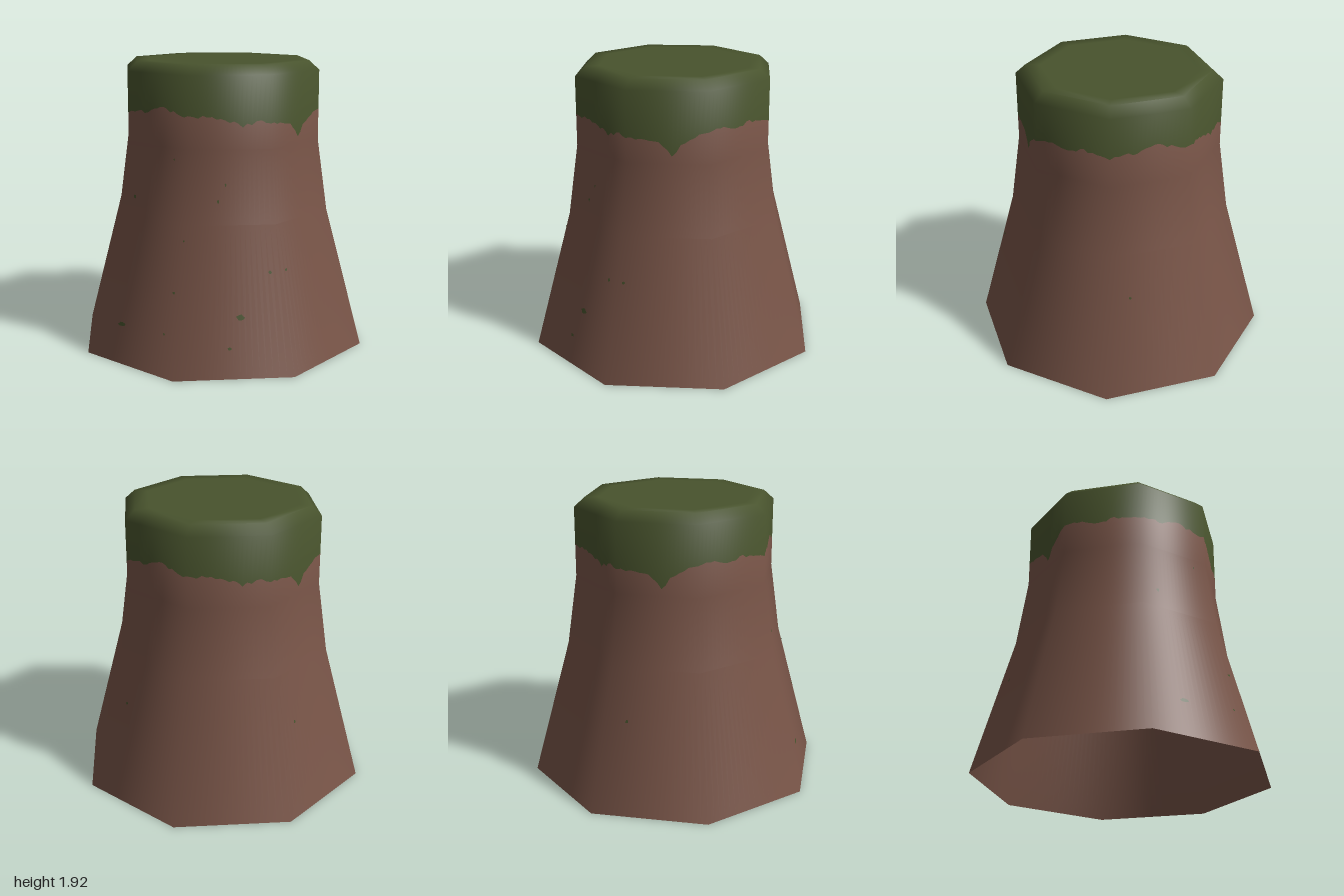
import * as THREE from 'three';

// Profile rings: height, corner radius, upward tilt of the smooth normal
const PROFILE = [
  [0, 1, 0.26], [0.93, 0.745, 0.2], [1.4, 0.677, 0.08], [1.86, 0.677, 0.3], [1.92, 0.61, 0.85],
];
const COLUMNS = 144;

// Moss edge height every 10 degrees, repeating each half turn
const EDGE = [1.62, 1.61, 1.6, 1.61, 1.6, 1.6, 1.62, 1.65, 1.63, 1.6, 1.6, 1.59, 1.54, 1.57, 1.55, 1.55, 1.46, 1.56];

function seeded(seed) {
  return () => {
    seed = (seed * 16807) % 2147483647;
    return seed / 2147483647;
  };
}

// Point and smooth normal on the octagonal wall
function wallPoint(angle, y) {
  let k = 0;
  while (k < PROFILE.length - 2 && y > PROFILE[k + 1][0]) k++;
  const [a, b] = [PROFILE[k], PROFILE[k + 1]];
  const t = (y - a[0]) / (b[0] - a[0]);
  const corner = THREE.MathUtils.lerp(a[1], b[1], t);
  const tilt = THREE.MathUtils.lerp(a[2], b[2], t);
  const side = Math.PI / 4;
  const local = THREE.MathUtils.euclideanModulo(angle, side) - side / 2;
  const r = corner * Math.cos(side / 2) / Math.cos(local);
  const flat = Math.sqrt(1 - tilt * tilt);
  return {
    p: new THREE.Vector3(Math.sin(angle) * r, y, Math.cos(angle) * r),
    n: new THREE.Vector3(Math.sin(angle) * flat, tilt, Math.cos(angle) * flat),
  };
}

// Ragged border between moss and bark
const random = seeded(71);
const border = [];
for (let i = 0; i < COLUMNS / 2; i++) {
  const f = i / 4;
  const k = Math.floor(f);
  border.push(THREE.MathUtils.lerp(EDGE[k], EDGE[(k + 1) % EDGE.length], f - k) + (random() - 0.5) * 0.03);
}
const borderAt = (i) => border[i % border.length];

function makeGeometry(points, index) {
  const g = new THREE.BufferGeometry();
  g.setAttribute('position', new THREE.Float32BufferAttribute(points.flatMap((v) => v.p.toArray()), 3));
  g.setAttribute('normal', new THREE.Float32BufferAttribute(points.flatMap((v) => v.n.toArray()), 3));
  g.setIndex(index);
  return g;
}

// Wall band; each row is a function giving the height at a column
function wallBand(rows) {
  const points = [];
  const index = [];
  const w = COLUMNS + 1;
  rows.forEach((height, j) => {
    for (let i = 0; i <= COLUMNS; i++) {
      points.push(wallPoint((i / COLUMNS) * Math.PI * 2 - Math.PI / 2, height(i)));
      if (j > 0 && i > 0) {
        const d = j * w + i;
        index.push(d - w - 1, d - w, d, d - w - 1, d, d - 1);
      }
    }
  });
  return makeGeometry(points, index);
}

// Flat octagonal top, with normals easing into the bevel at its rim
function topCap() {
  const up = new THREE.Vector3(0, 1, 0);
  const points = [{ p: new THREE.Vector3(0, 1.92, 0), n: up }];
  const index = [];
  for (let ring = 0; ring < 2; ring++) {
    for (let i = 0; i < 8; i++) {
      const v = wallPoint((i * Math.PI) / 4, 1.92);
      if (ring === 0) {
        v.p.set(v.p.x * 0.85, 1.92, v.p.z * 0.85);
        v.n = up;
      }
      points.push(v);
    }
  }
  for (let i = 0; i < 8; i++) {
    const a = 1 + i;
    const b = 1 + ((i + 1) % 8);
    index.push(0, a, b, a, a + 8, b + 8, a, b + 8, b);
  }
  return makeGeometry(points, index);
}

// Small irregular moss patch lying on the bark
function mossSpeck(angle, y, width, height) {
  const lift = ({ p, n }) => ({ p: p.addScaledVector(n, 0.004), n });
  const points = [lift(wallPoint(angle, y))];
  const index = [];
  const count = 9;
  for (let i = 0; i < count; i++) {
    const t = (i / count) * Math.PI * 2;
    const s = 0.7 + random() * 0.5;
    points.push(lift(wallPoint(angle + (Math.cos(t) * width * s) / points[0].p.length(), y + Math.sin(t) * height * s)));
    index.push(0, 1 + i, 1 + ((i + 1) % count));
  }
  return makeGeometry(points, index);
}

export function createModel() {
  const bark = new THREE.MeshStandardMaterial({ color: 0x795548, side: THREE.DoubleSide });
  bark.name = 'bark brown';
  const moss = new THREE.MeshStandardMaterial({ color: 0x48532d, side: THREE.DoubleSide });
  moss.name = 'moss green';

  const model = new THREE.Group();
  model.name = 'mossyStump';
  const add = (name, geometry, material, parent = model) => {
    const mesh = new THREE.Mesh(geometry, material);
    mesh.name = name;
    parent.add(mesh);
  };

  // Flared hollow trunk, open below
  add('trunk', wallBand([() => 0, () => 0.93, () => 1.4, borderAt]), bark);

  // Moss cap with bevelled rim
  add('mossRim', wallBand([borderAt, () => 1.86, () => 1.92]), moss);
  add('mossTop', topCap(), moss);

  // Scattered moss specks: angle in degrees from the front, height, half sizes
  const specks = new THREE.Group();
  specks.name = 'mossSpecks';
  model.add(specks);
  [
    [-36, 1.055, 0.018, 0.012], [-9, 1.33, 0.01, 0.008], [20, 1.18, 0.01, 0.01], [16, 1.08, 0.012, 0.012],
    [40, 0.64, 0.013, 0.012], [-3, 0.52, 0.013, 0.008], [26, 0.37, 0.03, 0.018], [-30, 0.245, 0.034, 0.013],
    [21, 0.185, 0.012, 0.011], [-6, 0.26, 0.009, 0.007], [0, 0.84, 0.008, 0.009], [48, 0.645, 0.011, 0.01],
    [145, 0.65, 0.012, 0.01], [-125, 0.6, 0.012, 0.01],
  ].forEach(([deg, y, w, h]) => add('mossSpeck', mossSpeck(THREE.MathUtils.degToRad(deg), y, w, h), moss, specks));

  return model;
}
